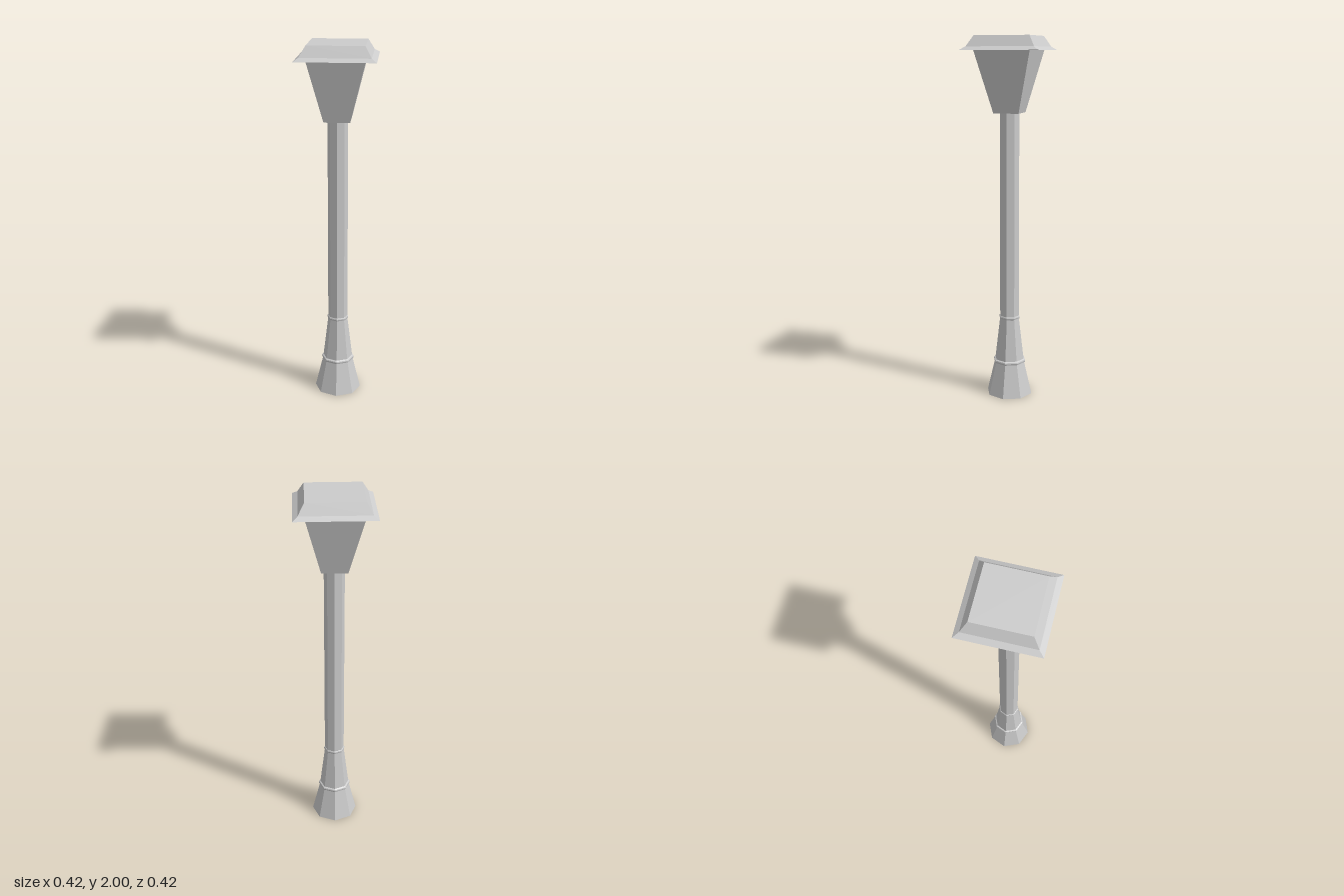
import * as THREE from 'three';

const material = new THREE.MeshStandardMaterial({ color: 0xcccccc, flatShading: true });

// Faceted solid from a bottom-to-top list of [radius, height]
function turned(name, profile, sides) {
  const points = profile.map(([r, y]) => new THREE.Vector2(r, y));
  const mesh = new THREE.Mesh(new THREE.LatheGeometry(points, sides), material);
  mesh.name = name;
  return mesh;
}

// Four-sided solid from a list of [half width, height]
function square(name, profile) {
  const mesh = turned(name, profile.map(([w, y]) => [w * Math.SQRT2, y]), 4);
  mesh.rotation.y = Math.PI / 4;
  return mesh;
}

// Thin raised collar around the octagonal post
function collar(name, r, y) {
  return turned(name, [
    [r - 0.012, y - 0.013], [r - 0.002, y - 0.008], [r, y],
    [r - 0.002, y + 0.006], [r - 0.012, y + 0.012],
  ], 8);
}

export function createModel() {
  const lamp = new THREE.Group();
  lamp.name = 'streetLamp';

  // Octagonal flared foot, tapered plinth and straight post
  lamp.add(turned('foot', [[0, 0], [0.13, 0], [0.085, 0.19]], 8));
  lamp.add(turned('plinth', [[0.085, 0.19], [0.054, 0.45]], 8));
  lamp.add(turned('post', [[0.055, 0.45], [0.055, 1.595]], 8));
  lamp.add(collar('lowerCollar', 0.093, 0.193));
  lamp.add(collar('upperCollar', 0.06, 0.449));

  // Square lantern widening upwards
  lamp.add(square('lantern', [[0, 1.593], [0.07, 1.593], [0.153, 1.927]]));

  // Overhanging cap with a shallow lip and flat top
  lamp.add(square('cap', [[0, 1.925], [0.21, 1.925], [0.183, 1.943], [0.15, 2], [0, 2]]));

  return lamp;
}
